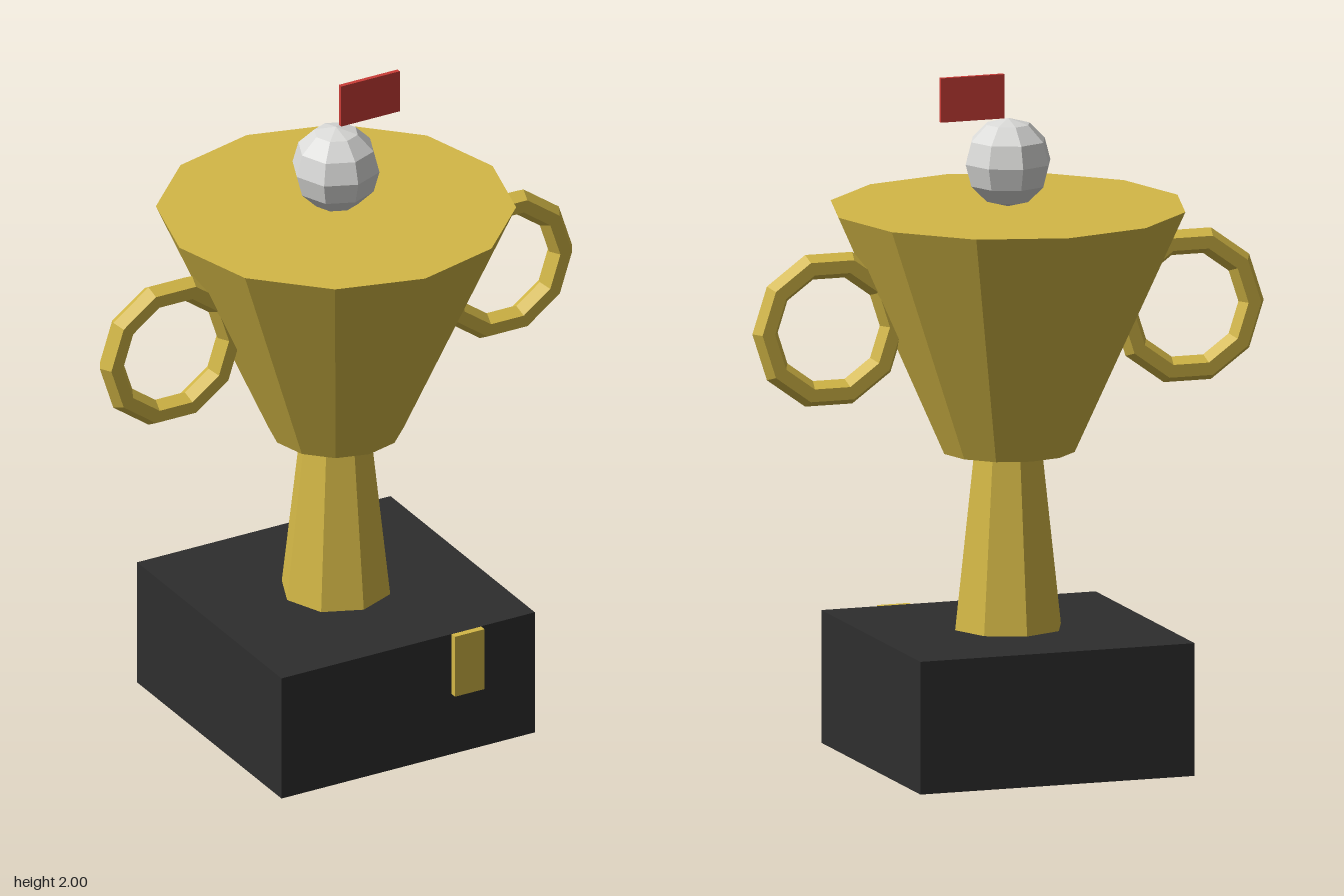
import * as THREE from 'three';

const material = (name, color) => {
  const m = new THREE.MeshStandardMaterial({ color, flatShading: true });
  m.name = name;
  return m;
};

export function createModel() {
  const model = new THREE.Group();
  model.name = 'trophy';

  const gold = material('gold', 0xd4b846);
  const black = material('black', 0x2e2e2e);
  const silver = material('silver', 0xdadad8);
  const red = material('red', 0xcb3d37);

  const add = (name, geometry, mat, x, y, z) => {
    const mesh = new THREE.Mesh(geometry, mat);
    mesh.name = name;
    mesh.position.set(x, y, z);
    model.add(mesh);
    return mesh;
  };

  // Square plinth with a small plaque on its front
  add('base', new THREE.BoxGeometry(0.835, 0.387, 0.835), black, 0, 0.1935, 0);
  add('plaque', new THREE.BoxGeometry(0.097, 0.193, 0.03), gold, 0.192, 0.29, 0.422);

  // Eight-sided tapered stem and twelve-sided solid cup
  add('stem', new THREE.CylinderGeometry(0.103, 0.161, 0.516, 8), gold, 0, 0.645, 0);
  add('cup', new THREE.CylinderGeometry(0.516, 0.194, 0.71, 12), gold, 0, 1.258, 0);

  // Ring handles on both sides
  for (const side of [-1, 1]) {
    add(side > 0 ? 'leftHandle' : 'rightHandle',
      new THREE.TorusGeometry(0.194, 0.0385, 6, 10), gold, side * 0.546, 1.29, 0);
  }

  // Faceted ball on top and the flag above it
  add('ball', new THREE.SphereGeometry(0.129, 8, 6), silver, 0, 1.742, 0);
  add('flag', new THREE.BoxGeometry(0.193, 0.129, 0.013), red, 0.11, 1.9355, 0);

  return model;
}
